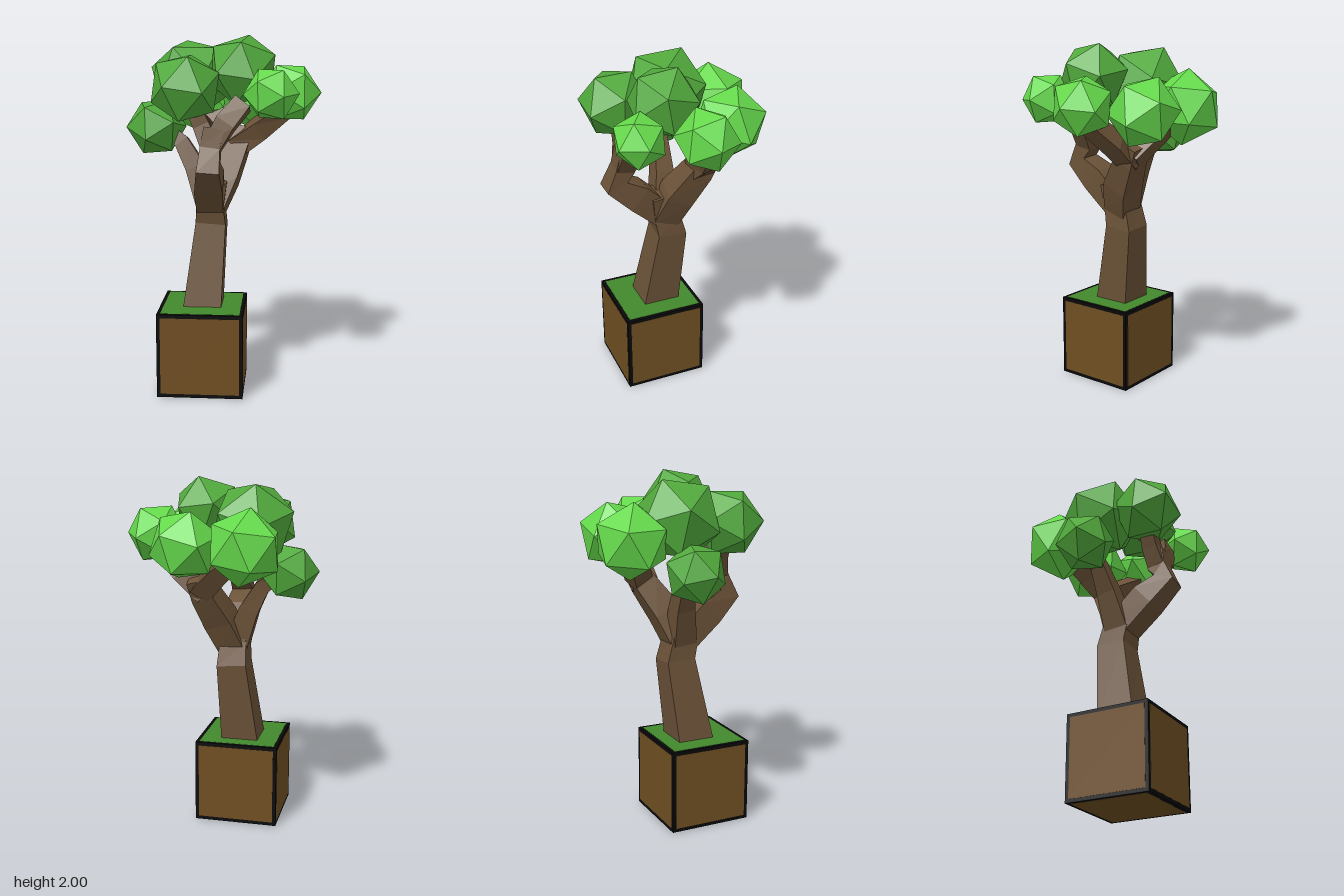
import * as THREE from 'three';

const mat = (name, color) => Object.assign(new THREE.MeshStandardMaterial({ color }), { name });

export function createModel() {
  const bark = mat('bark', 0x6a5137);
  const soil = mat('soil', 0x6f4e22);
  const grass = mat('grass', 0x43892d);
  const trim = mat('blackTrim', 0x090909);
  const leafDark = mat('darkLeaf', 0x51a93c);
  const leafLight = mat('lightLeaf', 0x65d94b);

  const model = new THREE.Group();
  model.name = 'pottedTree';
  const add = (parent, name, geometry, material) => {
    const mesh = new THREE.Mesh(geometry, material);
    mesh.name = name;
    parent.add(mesh);
    return mesh;
  };

  // Planter cube: black core with thin colour panels on every face
  const planter = new THREE.Group();
  planter.name = 'planter';
  planter.position.set(-0.11, 0.241, 0.135);
  model.add(planter);
  add(planter, 'frame', new THREE.BoxGeometry(0.48, 0.48, 0.48), trim);
  const W = 0.44, T = 0.004, off = 0.239;
  for (const s of [-1, 1]) {
    add(planter, 'sidePanel', new THREE.BoxGeometry(T, W, W), soil).position.x = s * off;
    add(planter, 'facePanel', new THREE.BoxGeometry(W, W, T), soil).position.z = s * off;
    add(planter, s > 0 ? 'grassTop' : 'basePanel', new THREE.BoxGeometry(W, T, W),
      s > 0 ? grass : soil).position.y = s * off;
  }

  // Limb: square cross-sections [x, y, z, halfWidth] lofted along a path, with flat faces
  function limb(name, stations) {
    const pts = stations.map(([x, y, z]) => new THREE.Vector3(x, y, z));
    const last = pts.length - 1, pos = [], idx = [];
    pts.forEach((p, i) => {
      const t = pts[Math.min(i + 1, last)].clone().sub(pts[Math.max(i - 1, 0)]).normalize();
      if (i === 0 && name === 'trunk') t.set(0, 1, 0);
      const u = new THREE.Vector3(1, 0, 0).addScaledVector(t, -t.x).normalize();
      const v = t.clone().cross(u);
      const h = stations[i][3];
      for (const [a, b] of [[1, 1], [-1, 1], [-1, -1], [1, -1]]) {
        const c = p.clone().addScaledVector(u, a * h).addScaledVector(v, b * h);
        pos.push(c.x, c.y, c.z);
      }
    });
    for (let i = 0; i < last; i++) {
      for (let k = 0; k < 4; k++) {
        const a = i * 4 + k, b = i * 4 + (k + 1) % 4;
        idx.push(a, b, b + 4, a, b + 4, a + 4);
      }
    }
    const e = last * 4;
    idx.push(0, 2, 1, 0, 3, 2, e, e + 1, e + 2, e, e + 2, e + 3);
    const g = new THREE.BufferGeometry();
    g.setAttribute('position', new THREE.Float32BufferAttribute(pos, 3));
    g.setIndex(idx);
    const flat = g.toNonIndexed();
    flat.computeVertexNormals();
    add(model, name, flat, bark);
  }

  // Trunk and main limbs
  limb('trunk', [[-0.11, 0.47, 0.11, 0.108], [-0.068, 0.94, 0.043, 0.085],
    [-0.07, 1.05, 0.07, 0.077], [-0.05, 1.2, 0.09, 0.075]]);
  limb('frontLimb', [[-0.07, 1.06, 0.08, 0.075], [-0.065, 1.205, 0.24, 0.078], [-0.058, 1.3, 0.365, 0.062],
    [-0.05, 1.39, 0.315, 0.053], [-0.03, 1.5, 0.295, 0.055]]);
  limb('backLimb', [[-0.06, 1.04, 0.07, 0.075], [0.005, 1.2, 0.01, 0.08],
    [0.07, 1.36, -0.09, 0.066], [0.1, 1.46, -0.14, 0.055]]);
  limb('rightLimb', [[-0.08, 1.05, 0.07, 0.07], [-0.16, 1.26, 0.04, 0.055], [-0.24, 1.4, 0.02, 0.042],
    [-0.34, 1.48, 0, 0.035]]);

  // Smaller branches reaching into the foliage
  limb('frontBranch', [[-0.05, 1.4, 0.31, 0.05], [-0.1, 1.52, 0.29, 0.045], [-0.15, 1.63, 0.29, 0.04]]);
  limb('frontBranch', [[-0.045, 1.4, 0.31, 0.05], [0.03, 1.53, 0.29, 0.056], [0.12, 1.635, 0.25, 0.05]]);
  limb('backBranch', [[0.06, 1.36, -0.09, 0.06], [0.2, 1.47, -0.08, 0.057], [0.35, 1.59, -0.02, 0.045]]);
  limb('backBranch', [[0.09, 1.38, -0.11, 0.06], [-0.02, 1.49, -0.18, 0.056], [-0.15, 1.6, -0.25, 0.045]]);

  // Leaf clump: icosahedron with one corner aimed along a, its neighbour towards b
  const basis = (a, b) => {
    const e1 = a.clone().normalize(), e2 = e1.clone().cross(b).normalize();
    return new THREE.Matrix4().makeBasis(e1, e2, e1.clone().cross(e2));
  };
  const phi = (1 + Math.sqrt(5)) / 2;
  const home = basis(new THREE.Vector3(1, phi, 0), new THREE.Vector3(-1, phi, 0)).transpose();
  const clumps = [
    ['crownClump', leafDark, [-0.185, 1.75, 0.0], 0.245, [-0.03, 0.2, -0.1], [-0.23, 0.05, -0.03]],
    ['topClump', leafDark, [0.11, 1.81, 0.135], 0.203, [0.035, 0.19, -0.07], [0.17, 0.05, 0.055]],
    ['frontRightClump', leafDark, [-0.187, 1.72, 0.305], 0.2, [-0.1, 0.01, 0.17], [0.1, -0.02, 0.17]],
    ['rightClump', leafDark, [-0.385, 1.485, 0.01], 0.172, [-1, 0, 0.25], [-0.1, 0.14, -0.06]],
    ['leftClump', leafLight, [0.372, 1.68, 0.0], 0.175, [1, 0, 0], [0, 0.16, -0.07]],
    ['frontLeftClump', leafLight, [0.273, 1.69, 0.332], 0.15, [1, 0.02, 0], [0, 0.1, -0.12]],
    ['backRightClump', leafLight, [-0.193, 1.645, -0.275], 0.215, [-0.03, 0.2, 0], [-0.18, 0, -0.1]],
    ['backLeftClump', leafLight, [0.147, 1.645, -0.238], 0.203, [-0.05, 0.18, -0.06], [0.09, 0.065, -0.17]],
  ];
  for (const [name, material, centre, radius, a, b] of clumps) {
    const g = new THREE.IcosahedronGeometry(radius, 0);
    g.applyMatrix4(basis(new THREE.Vector3(...a), new THREE.Vector3(...b)).multiply(home));
    add(model, name, g, material).position.set(...centre);
  }
  return model;
}
